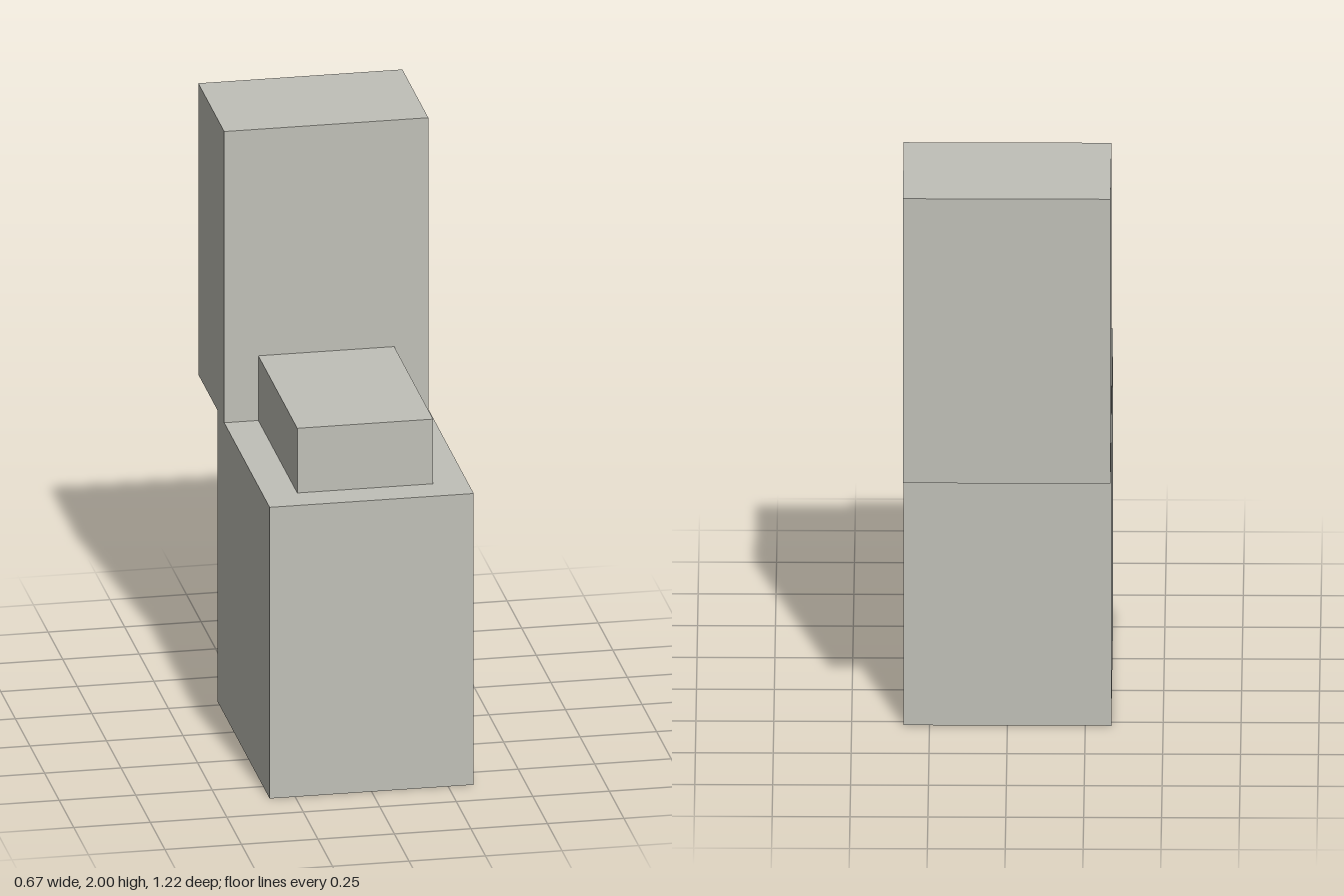
import * as THREE from 'three';

export function createModel() {
  const model = new THREE.Group();
  model.name = 'blockChair';

  const stone = new THREE.MeshStandardMaterial({ color: 0xc0c0b8 });
  stone.name = 'paleStone';

  // Box centred on x, spanning y0..y1 and z0..z1
  function block(name, width, y0, y1, z0, z1) {
    const geometry = new THREE.BoxGeometry(width, y1 - y0, z1 - z0);
    const mesh = new THREE.Mesh(geometry, stone);
    mesh.name = name;
    mesh.position.set(0, (y0 + y1) / 2, (z0 + z1) / 2);
    model.add(mesh);
  }

  block('base', 0.667, 0, 1, -0.278, 0.611);
  block('seatPad', 0.444, 1, 1.222, -0.167, 0.5);
  // Backrest overhangs the rear of the base
  block('backrest', 0.667, 1, 2, -0.611, -0.167);

  return model;
}
